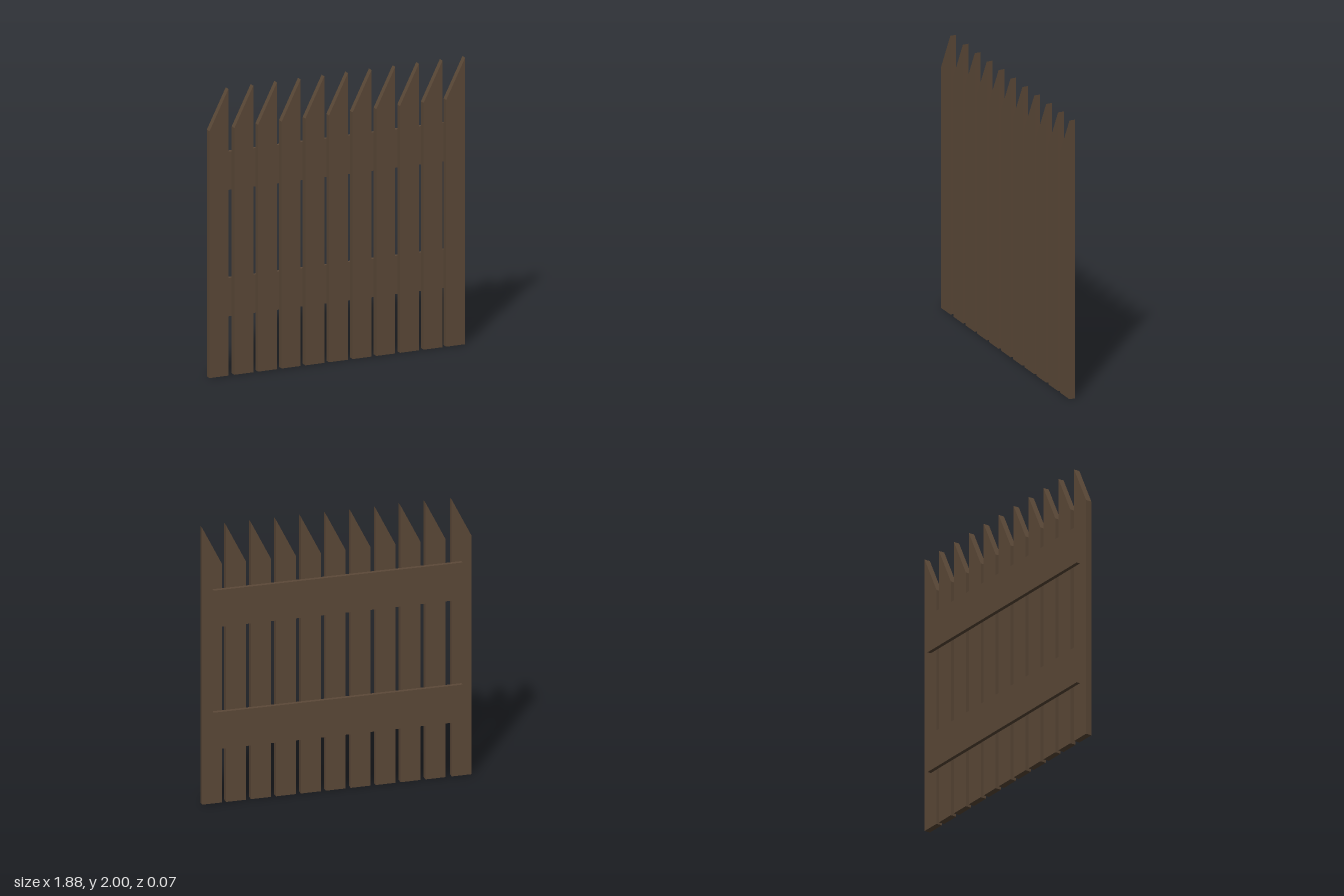
import * as THREE from 'three';

const wood = new THREE.MeshStandardMaterial({ color: 0x5c4938 });
wood.name = 'brown wood';

const BACK = -0.035, JOINT = -0.008, FRONT = 0.035;
const PICKET_WIDTH = 0.139;

// Picket outline with a slanted top that peaks on the +x side
function picketGeometry() {
  const h = PICKET_WIDTH / 2;
  const shape = new THREE.Shape([
    new THREE.Vector2(-h, 0),
    new THREE.Vector2(h, 0),
    new THREE.Vector2(h, 2),
    new THREE.Vector2(-h, 1.722),
  ]);
  const geometry = new THREE.ExtrudeGeometry(shape, { depth: FRONT - JOINT, bevelEnabled: false });
  geometry.translate(0, 0, JOINT);
  return geometry;
}

// Rail board with open ends: the box's two x faces come first in its index
function railGeometry() {
  const geometry = new THREE.BoxGeometry(1.734, 0.267, JOINT - BACK);
  geometry.setIndex(Array.from(geometry.index.array).slice(12));
  geometry.clearGroups();
  return geometry;
}

export function createModel() {
  const fence = new THREE.Group();
  fence.name = 'fence';

  // Nine evenly spaced pickets between two slightly offset end pickets
  const centres = [-0.87];
  for (let i = 0; i < 9; i++) centres.push(-0.687 + i * 0.1736);
  centres.push(0.868);

  const picket = picketGeometry();
  centres.forEach((x, i) => {
    const mesh = new THREE.Mesh(picket, wood);
    mesh.name = `picket${i + 1}`;
    mesh.position.x = x;
    fence.add(mesh);
  });

  // Two horizontal rails across the back
  const rail = railGeometry();
  for (const [name, y] of [['lowerRail', 0.533], ['upperRail', 1.415]]) {
    const mesh = new THREE.Mesh(rail, wood);
    mesh.name = name;
    mesh.position.set(-0.002, y, (BACK + JOINT) / 2);
    fence.add(mesh);
  }
  return fence;
}
